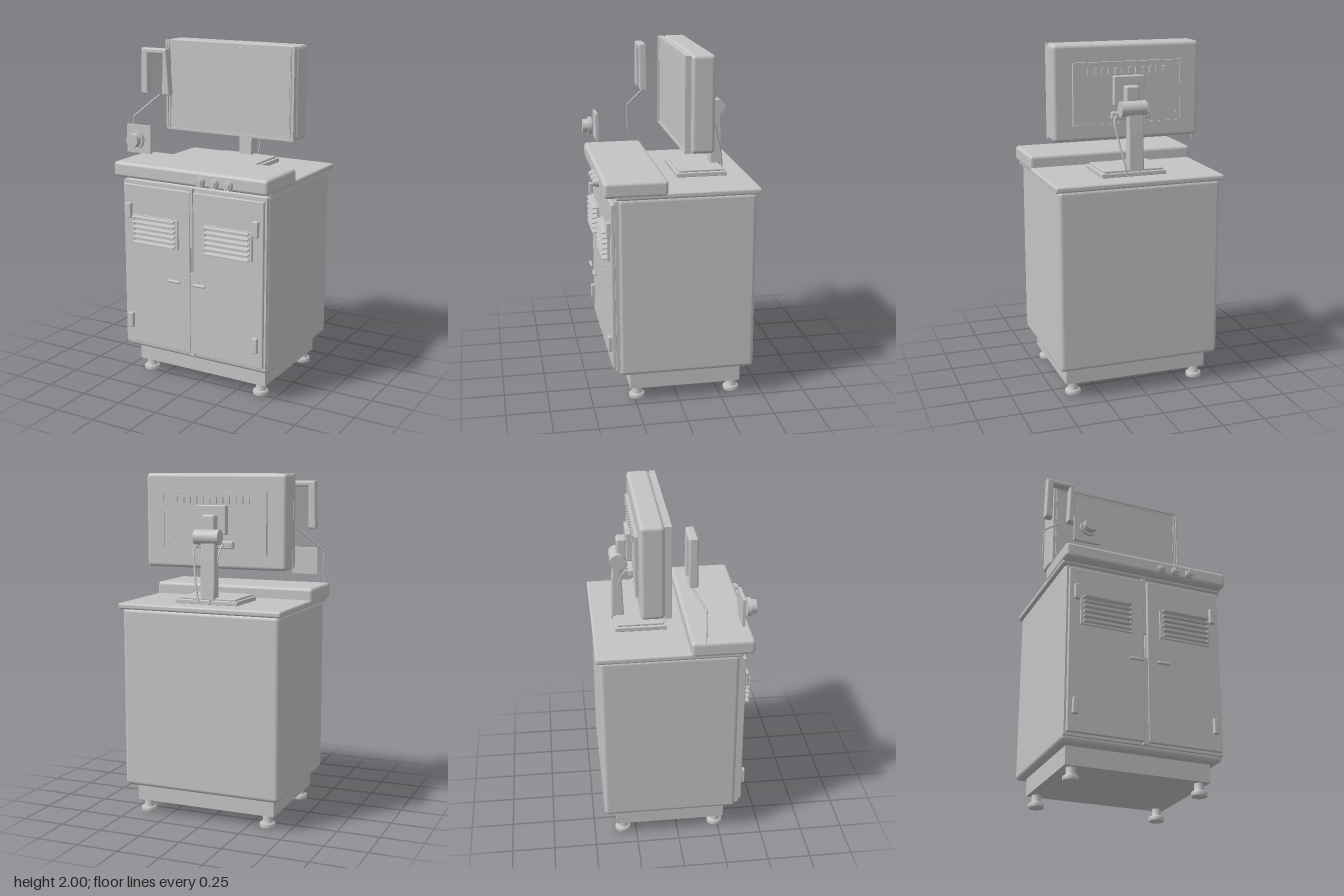
import * as THREE from 'three';
import { RoundedBoxGeometry } from 'three/addons/geometries/RoundedBoxGeometry.js';

const grey = new THREE.MeshStandardMaterial({ color: 0xc4c4c4 });
grey.name = 'light grey';

export function createModel() {
  const root = new THREE.Group();
  root.name = 'workstationCabinet';

  const add = (name, geo, x = 0, y = 0, z = 0) => {
    const m = new THREE.Mesh(geo, grey);
    m.name = name;
    m.position.set(x, y, z);
    root.add(m);
    return m;
  };
  // Box given by its limits; r > 0 rounds the edges
  const box = (name, x0, x1, y0, y1, z0, z1, r = 0) => {
    const s = [x1 - x0, y1 - y0, z1 - z0];
    const geo = r ? new RoundedBoxGeometry(...s, 3, r) : new THREE.BoxGeometry(...s);
    return add(name, geo, (x0 + x1) / 2, (y0 + y1) / 2, (z0 + z1) / 2);
  };
  // Disc with its axis along z
  const disc = (name, x, y, z0, z1, r, rFront = r) =>
    add(name, new THREE.CylinderGeometry(rFront, r, z1 - z0, 32).rotateX(Math.PI / 2), x, y, (z0 + z1) / 2);
  const tube = (name, pts, r, curved = true) => {
    const v = pts.map(p => new THREE.Vector3(...p));
    const path = curved ? new THREE.CatmullRomCurve3(v) : new THREE.LineCurve3(v[0], v[1]);
    return add(name, new THREE.TubeGeometry(path, curved ? 28 : 1, r, 8));
  };
  // Outline in the xy plane, extruded along z
  const prism = (name, pts, z0, z1, bevel) => {
    const geo = new THREE.ExtrudeGeometry(new THREE.Shape(pts.map(p => new THREE.Vector2(...p))), {
      depth: z1 - z0 - 2 * bevel, bevelEnabled: bevel > 0, bevelSize: bevel,
      bevelThickness: bevel, bevelOffset: -bevel, bevelSegments: 3,
    });
    return add(name, geo, 0, 0, z0 + bevel);
  };
  // Rectangular frame with an open centre
  const frame = (name, x0, x1, y0, y1, z0, z1, w) => {
    const rect = (C, a, b, c, d) => {
      const s = new C();
      s.moveTo(a, c); s.lineTo(b, c); s.lineTo(b, d); s.lineTo(a, d); s.closePath();
      return s;
    };
    const s = rect(THREE.Shape, x0, x1, y0, y1);
    s.holes.push(rect(THREE.Path, x0 + w, x1 - w, y0 + w, y1 - w));
    return add(name, new THREE.ExtrudeGeometry(s, { depth: z1 - z0, bevelEnabled: false }), 0, 0, z0);
  };

  // Cabinet
  box('cabinetBody', -0.46, 0.5, 0.18, 1.235, -0.44, 0.345, 0.025);
  box('plinth', -0.41, 0.45, 0.075, 0.19, -0.37, 0.28);
  box('worktop', -0.475, 0.52, 1.23, 1.265, -0.46, 0.36, 0.012);
  box('controlConsole', -0.48, 0.525, 1.245, 1.335, 0.067, 0.423, 0.02);

  // Feet
  const footProfile = [[0, 0], [0.042, 0], [0.046, 0.005], [0.046, 0.024], [0.04, 0.03], [0.027, 0.031], [0.027, 0.08]]
    .map(p => new THREE.Vector2(...p));
  for (const x of [-0.36, 0.4])
    for (const z of [0.235, -0.33]) add('foot', new THREE.LatheGeometry(footProfile, 24), x, 0, z);

  // Doors, hinges, louvred vents and handles, mirrored about the cabinet centre
  const cx = 0.021;
  const pair = (name, a, b, ...rest) => {
    box(name, cx - b, cx - a, ...rest);
    box(name, cx + a, cx + b, ...rest);
  };
  pair('doorBacking', 0.006, 0.472, 0.21, 1.22, 0.34, 0.362);
  pair('door', 0.012, 0.461, 0.225, 1.2, 0.36, 0.382, 0.004);
  box('upperDoorStrip', 0.004, 0.026, 0.87, 1.22, 0.34, 0.378);
  box('lowerDoorStrip', 0.004, 0.034, 0.21, 0.72, 0.34, 0.378);
  for (const y of [0.32, 1.0]) pair('hinge', 0.402, 0.437, y, y + 0.092, 0.38, 0.406, 0.006);
  for (const s of [-1, 1]) {
    const x = cx + s * 0.241;
    frame('ventFrame', x - 0.156, x + 0.156, 0.852, 1.026, 0.38, 0.396, 0.012);
    for (let i = 0; i < 6; i++) {
      const slat = add('ventSlat', new THREE.BoxGeometry(0.284, 0.007, 0.036), x, 0.865 + i * 0.0305, 0.406);
      slat.rotation.x = 0.12;
    }
    const handle = add('handle', new THREE.CapsuleGeometry(0.009, 0.062, 6, 12), cx + s * 0.083, 0.675, 0.438);
    handle.rotation.z = Math.PI / 2;
    disc('keyhole', cx + s * 0.045, 0.675, 0.38, 0.386, 0.007);
  }

  // Console knobs
  for (const x of [0.11, 0.198, 0.288]) {
    disc('knobBase', x, 1.281, 0.42, 0.446, 0.028, 0.026);
    disc('knobCap', x, 1.281, 0.446, 0.458, 0.02, 0.018);
  }

  // Monitor housing, bezel and screen
  box('monitorHousing', -0.411, 0.456, 1.457, 2.0, -0.203, -0.07, 0.022);
  box('screen', -0.395, 0.438, 1.468, 1.988, -0.075, -0.043);
  frame('monitorBezel', -0.405, 0.45, 1.46, 1.997, -0.068, -0.034, 0.012);
  for (const x of [-0.388, 0.424]) box('screenSideRail', x, x + 0.006, 1.472, 1.985, -0.05, -0.036);
  frame('screenTrim', -0.38, 0.42, 1.48, 1.975, -0.045, -0.04, 0.005);

  // Back panel with vent slots, screws and connectors
  box('backPanel', -0.3, 0.345, 1.545, 1.9, -0.217, -0.2);
  frame('backPanelRim', -0.3, 0.345, 1.545, 1.9, -0.222, -0.215, 0.01);
  for (let i = 0; i < 12; i++) {
    const x = -0.2 + i * 0.0405;
    box('backSlot', x, x + 0.018, 1.83, 1.868, -0.228, -0.215);
  }
  for (const x of [-0.27, 0.315])
    for (const y of [1.6, 1.82]) disc('backScrew', x, y, -0.224, -0.21, 0.006);
  box('connectorHousing', -0.105, 0.125, 1.575, 1.62, -0.238, -0.21, 0.008);
  for (const x of [-0.08, -0.04, 0.095]) box('connector', x - 0.012, x + 0.012, 1.585, 1.61, -0.248, -0.235);
  box('mountPlate', -0.065, 0.115, 1.655, 1.822, -0.25, -0.21, 0.006);

  // Stand
  box('tiltBracket', -0.018, 0.062, 1.64, 1.77, -0.302, -0.245, 0.012);
  const hinge = add('tiltHinge', new THREE.CylinderGeometry(0.043, 0.043, 0.15, 32), 0.023, 1.645, -0.3);
  hinge.rotation.z = Math.PI / 2;
  prism('standPillar', [[0.262, 1.295], [0.332, 1.295], [0.326, 1.52], [0.318, 1.65], [0.28, 1.65], [0.27, 1.5]],
    -0.012, 0.075, 0.006).rotation.y = Math.PI / 2;
  root.getObjectByName('standPillar').position.x = -0.026;
  box('standBase', -0.17, 0.215, 1.262, 1.29, -0.33, -0.035, 0.006);
  box('standBaseTop', -0.155, 0.2, 1.288, 1.302, -0.318, -0.05, 0.005);

  // Cables behind the stand
  tube('rightCable', [[0.095, 1.6, -0.24], [0.12, 1.58, -0.265], [0.105, 1.46, -0.3], [0.085, 1.36, -0.325], [0.065, 1.27, -0.335]], 0.006);
  tube('leftCable', [[-0.04, 1.6, -0.24], [-0.04, 1.57, -0.27], [-0.022, 1.45, -0.31], [-0.012, 1.35, -0.33], [0.0, 1.27, -0.335]], 0.005);

  // Hanging holder
  prism('holder', [[-0.502, 1.685], [-0.455, 1.685], [-0.452, 1.925], [-0.348, 1.925], [-0.356, 1.685],
    [-0.305, 1.685], [-0.322, 1.957], [-0.495, 1.957]], 0.045, 0.095, 0.01);

  // Bent wire
  tube('wireArm', [[-0.395, 1.68, 0.052], [-0.525, 1.552, 0.14]], 0.006, false);
  tube('wireDrop', [[-0.525, 1.555, 0.14], [-0.525, 1.36, 0.14]], 0.003, false);

  // Switch plate and dial
  box('switchPlate', -0.416, -0.254, 1.39, 1.552, 0.355, 0.371);
  disc('dialCollar', -0.335, 1.471, 0.39, 0.41, 0.053);
  disc('dial', -0.335, 1.471, 0.41, 0.443, 0.042, 0.038);

  return root;
}
